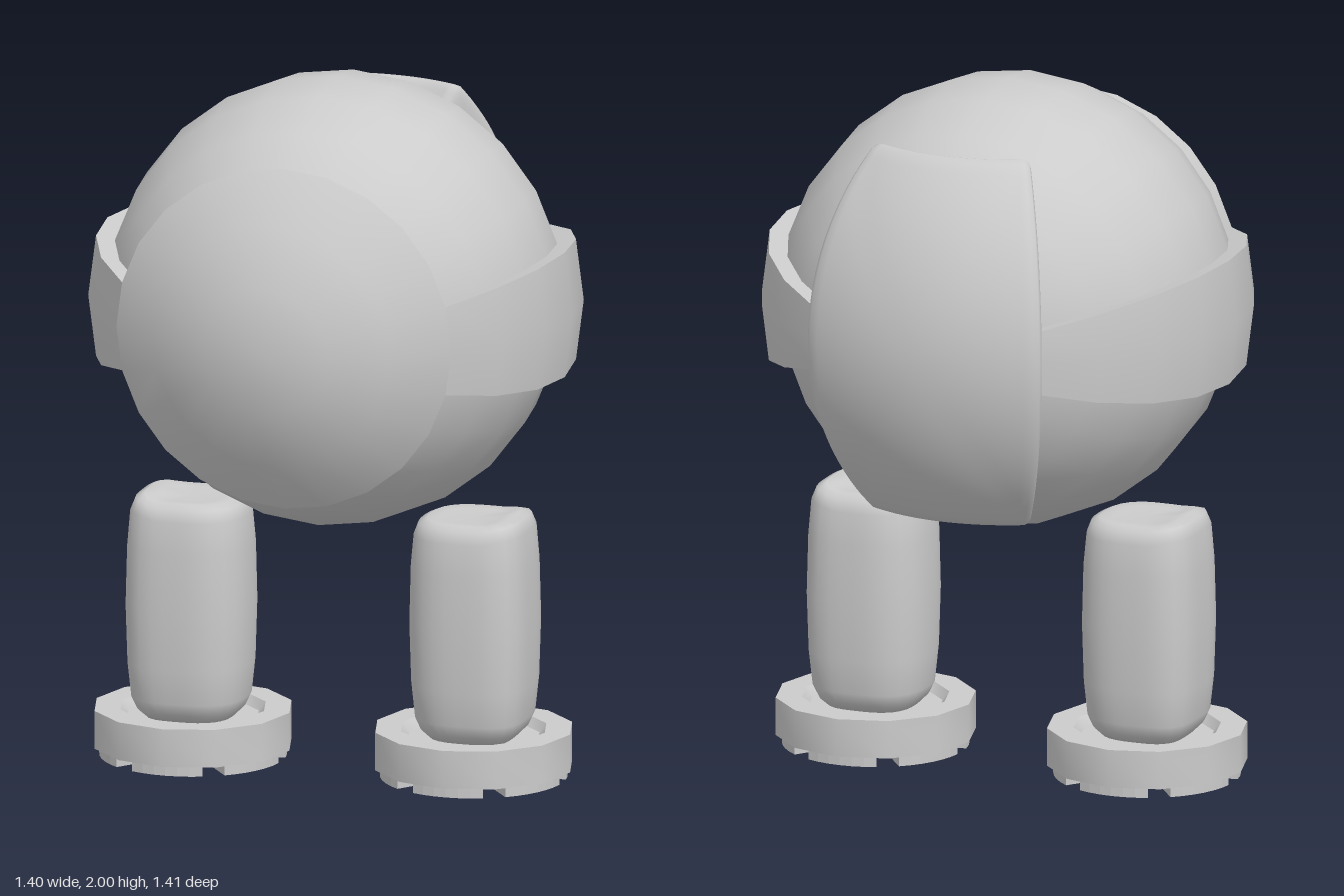
import * as THREE from 'three';
import { mergeVertices, toCreasedNormals } from 'three/addons/utils/BufferGeometryUtils.js';

const CENTER_Y = 1.355, BALL_R = 0.645, SHELL_R = 0.7, LEG_X = 0.415, LEG_Z = 0.025;
const rad = THREE.MathUtils.degToRad;
const grey = new THREE.MeshStandardMaterial({ color: 0xcccccc });

function part(name, geometry) {
  const mesh = new THREE.Mesh(geometry, grey);
  mesh.name = name;
  return mesh;
}

function lathe(points, sides) {
  const g = new THREE.LatheGeometry(points.map(([x, y]) => new THREE.Vector2(x, y)), sides);
  return toCreasedNormals(g, 0.6);
}

// Box bent into a piece of spherical shell around the z pole, centred on +x.
// round softens its edges, flare lifts its outer rim.
function shellPatch(r0, r1, t0, t1, halfPhi, segs, round = 0, flare = 0) {
  const R = 0.7;
  const half = new THREE.Vector3((r1 - r0) / 2, rad(t1 - t0) / 2 * R, rad(halfPhi) * R);
  let g = new THREE.BoxGeometry(half.x * 2, half.y * 2, half.z * 2, ...segs);
  const pos = g.attributes.position;
  const inner = half.clone().subScalar(round);
  const p = new THREE.Vector3(), core = new THREE.Vector3();
  for (let i = 0; i < pos.count; i++) {
    p.fromBufferAttribute(pos, i);
    if (round) {
      core.copy(p).clamp(inner.clone().negate(), inner);
      p.sub(core).setLength(round).add(core);
    }
    const edge = Math.max(Math.abs(p.y / half.y), Math.abs(p.z / half.z));
    const r = (r0 + r1) / 2 + p.x + flare * edge * edge;
    const t = rad(t0 + t1) / 2 + p.y / R, f = p.z / R;
    pos.setXYZ(i, r * Math.sin(t) * Math.cos(f), r * Math.sin(t) * Math.sin(f), r * Math.cos(t));
  }
  if (round) {
    g.deleteAttribute('normal');
    g.deleteAttribute('uv');
    g = mergeVertices(g, 1e-5);
  }
  g.computeVertexNormals();
  return g;
}

// Softened post, squarer on its outer (+x) side, with a small lip on top
function legGeometry() {
  const profile = [[0, 0.11], [0.12, 0.12], [0.145, 0.145], [0.16, 0.18], [0.17, 0.28], [0.175, 0.45],
    [0.171, 0.62], [0.163, 0.71], [0.15, 0.745], [0.125, 0.757], [0.09, 0.755], [0, 0.752]];
  let g = new THREE.LatheGeometry(profile.map(([x, y]) => new THREE.Vector2(x, y)), 32);
  const pos = g.attributes.position;
  for (let i = 0; i < pos.count; i++) {
    const x = pos.getX(i), y = pos.getY(i), z = pos.getZ(i), r = Math.hypot(x, z);
    if (r < 1e-6) continue;
    const n = x > 0 ? 3.6 : 2.6;
    const k = Math.pow(Math.abs(x / r) ** n + Math.abs(z / r) ** n, -1 / n);
    const lip = y > 0.7 ? 0.014 * THREE.MathUtils.smoothstep(x, 0.05, 0.12) : 0;
    pos.setXYZ(i, x * k, y + lip, z * k);
  }
  g.deleteAttribute('normal');
  g.deleteAttribute('uv');
  g = mergeVertices(g, 1e-5);
  g.computeVertexNormals();
  return g;
}

// Curved block of the sole pattern
function treadGeometry() {
  const a = rad(23), s = new THREE.Shape();
  s.absarc(0, 0, 0.265, -a, a, false);
  s.absarc(0, 0, 0.15, a, -a, true);
  s.closePath();
  const g = new THREE.ExtrudeGeometry(s, { depth: 0.035, bevelEnabled: false, curveSegments: 3 });
  return g.rotateX(-Math.PI / 2);
}

function createLeg(side) {
  const leg = new THREE.Group();
  leg.name = side > 0 ? 'leftLeg' : 'rightLeg';
  leg.add(part('legPost', legGeometry()));

  // Round foot: recessed around the post and hollow underneath
  leg.add(part('foot', lathe([[0, 0.09], [0.12, 0.09], [0.12, 0.03], [0.285, 0.03], [0.285, 0.14],
    [0.21, 0.14], [0.19, 0.115], [0, 0.115]], 12)));
  for (let i = 0; i < 6; i++) {
    const tread = part('footTread', treadGeometry());
    tread.rotation.y = rad(30 + i * 60);
    leg.add(tread);
  }
  leg.position.set(side * LEG_X, 0, LEG_Z);
  if (side < 0) leg.rotation.y = Math.PI;
  return leg;
}

export function createModel() {
  const model = new THREE.Group();
  model.name = 'roundWalker';

  const body = new THREE.Group();
  body.name = 'body';
  body.position.y = CENTER_Y;
  model.add(body);

  // Inner ball, poles front and back
  body.add(part('ball', new THREE.SphereGeometry(BALL_R, 24, 12).rotateX(Math.PI / 2)));

  // Front cap with a radial rim
  const cap = [[0.44, 0.44]];
  for (let t = 45; t >= 0; t -= 15) cap.push([SHELL_R * Math.sin(rad(t)), SHELL_R * Math.cos(rad(t))]);
  body.add(part('frontCap', lathe(cap, 24).rotateX(Math.PI / 2)));

  // Side bands running from the cap to the back plate
  for (const side of [1, -1]) {
    const band = part(side > 0 ? 'leftBand' : 'rightBand',
      shellPatch(0.61, SHELL_R, 45, 150, 15, [1, 7, 2]));
    if (side < 0) band.rotation.z = Math.PI;
    body.add(band);
  }

  // Rounded back plate
  const plate = shellPatch(0.6, 0.706, 40.5, 139.5, 30.5, [8, 40, 28], 0.03, 0.016);
  body.add(part('backPlate', plate.rotateX(-Math.PI / 2).rotateY(Math.PI / 2)));

  for (const side of [1, -1]) model.add(createLeg(side));
  return model;
}
